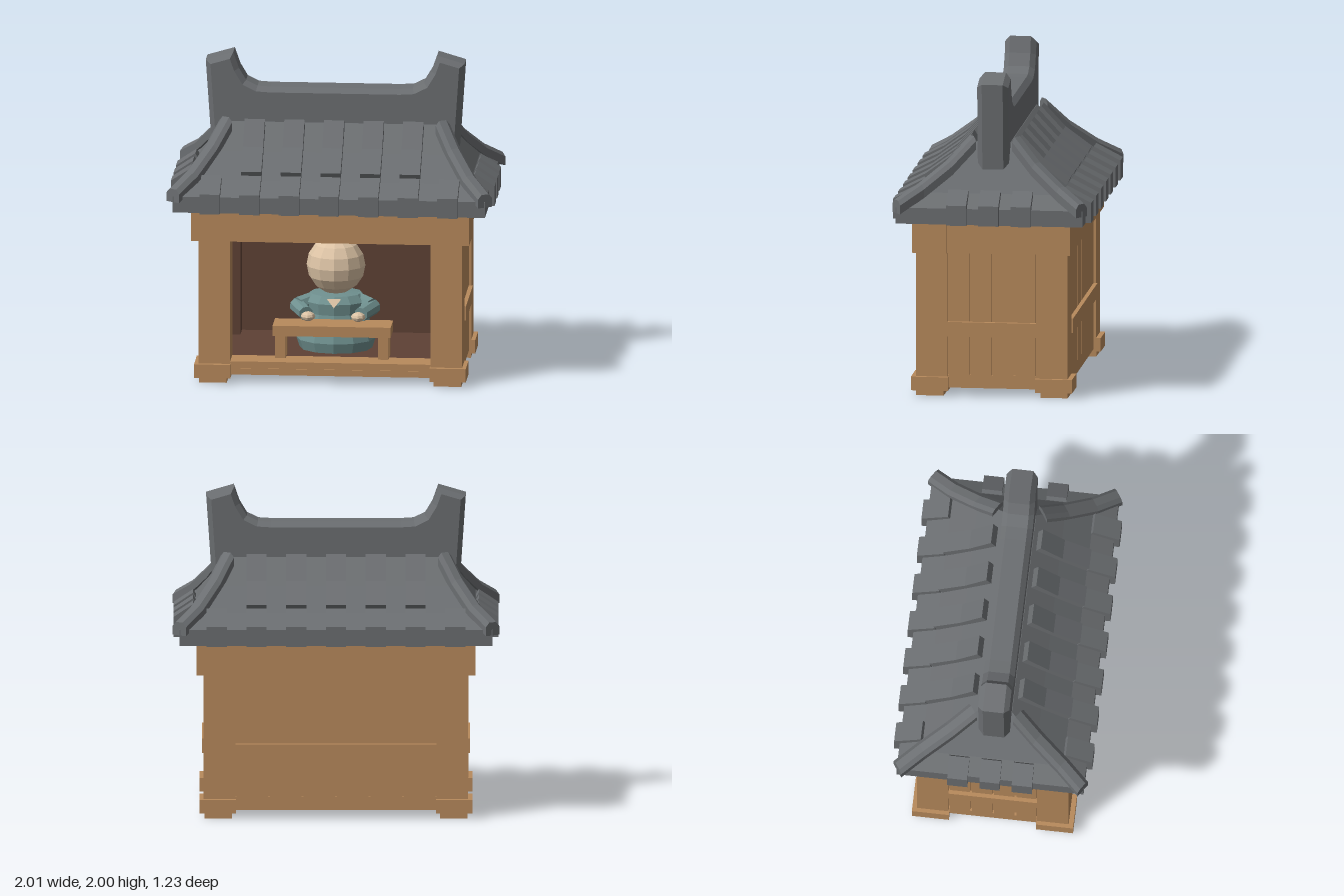
import * as THREE from 'three';

const mat = (name, color) => Object.assign(new THREE.MeshStandardMaterial({ color }), { name });

export function createModel() {
  const root = new THREE.Group();
  root.name = 'shrine';
  const wood = mat('wood', 0xb88a5c);
  const tile = mat('roofTile', 0x6b6e71);
  const dark = mat('darkInterior', 0x5e4135);
  const skin = mat('skin', 0xdcc3a5);
  const cloth = mat('tealCloth', 0x6f908f);

  const group = (name) => {
    const g = new THREE.Group();
    g.name = name;
    root.add(g);
    return g;
  };
  const add = (parent, name, geo, material) => {
    const m = new THREE.Mesh(geo, material);
    m.name = name;
    parent.add(m);
    return m;
  };
  // Box given by its lower and upper limits on each axis
  const box = (parent, name, material, x0, x1, y0, y1, z0, z1) => {
    const geo = new THREE.BoxGeometry(Math.abs(x1 - x0), y1 - y0, Math.abs(z1 - z0));
    geo.translate((x0 + x1) / 2, (y0 + y1) / 2, (z0 + z1) / 2);
    return add(parent, name, geo, material);
  };
  const faceted = (geo) => {
    const g = geo.toNonIndexed();
    g.computeVertexNormals();
    return g;
  };
  // Closed solid through a list of equal-length rings
  const loft = (rings) => {
    const p = [];
    const tri = (a, b, c) => p.push(...a, ...b, ...c);
    const n = rings[0].length;
    const last = rings[rings.length - 1];
    for (let i = 0; i < rings.length - 1; i++) {
      for (let j = 0; j < n; j++) {
        const k = (j + 1) % n;
        tri(rings[i][j], rings[i][k], rings[i + 1][k]);
        tri(rings[i][j], rings[i + 1][k], rings[i + 1][j]);
      }
    }
    for (let j = 1; j < n - 1; j++) {
      tri(rings[0][0], rings[0][j + 1], rings[0][j]);
      tri(last[0], last[j], last[j + 1]);
    }
    const g = new THREE.BufferGeometry();
    g.setAttribute('position', new THREE.Float32BufferAttribute(p, 3));
    g.computeVertexNormals();
    return g;
  };
  const shapeOf = (pts) => new THREE.Shape(pts.map((q) => new THREE.Vector2(...q)));

  // Posts with plinths and feet
  const frame = group('frame');
  for (const sx of [-1, 1]) for (const sz of [-1, 1]) {
    box(frame, 'post', wood, sx * 0.62, sx * 0.815, 0.1, 0.92, sz * 0.275, sz * 0.47);
    box(frame, 'plinth', wood, sx * 0.615, sx * 0.84, 0.035, 0.12, sz * 0.27, sz * 0.5);
    box(frame, 'foot', wood, sx * 0.64, sx * 0.81, 0, 0.035, sz * 0.3, sz * 0.47);
  }

  // Floor, sill and top beams
  box(frame, 'baseSlab', wood, -0.8, 0.8, 0.05, 0.09, -0.455, 0.455);
  box(frame, 'sill', wood, -0.62, 0.62, 0.09, 0.132, 0.28, 0.45);
  box(frame, 'frontBeam', wood, -0.86, 0.86, 0.9, 1.1, 0.275, 0.49);
  box(frame, 'backBeam', wood, -0.86, 0.86, 0.9, 1.1, -0.49, -0.38);
  for (const s of [-1, 1]) box(frame, 'sideBeam', wood, s * 0.74, s * 0.835, 0.9, 1.1, -0.38, 0.275);

  // Dark lining of the room
  const room = group('room');
  box(room, 'floor', dark, -0.74, 0.74, 0.09, 0.128, -0.42, 0.28);
  box(room, 'backLining', dark, -0.74, 0.74, 0.09, 1.1, -0.42, -0.4);
  for (const s of [-1, 1]) {
    box(room, 'sideLining', dark, s * 0.72, s * 0.74, 0.09, 1.1, -0.4, 0.275);
    box(room, 'innerCorner', dark, s * 0.612, s * 0.72, 0.09, 1.1, -0.4, -0.27);
  }

  // Planked walls with narrow grooves and a rail
  const walls = group('walls');
  const gap = 0.006;
  box(walls, 'backBacking', wood, -0.62, 0.62, 0.09, 0.9, -0.435, -0.42);
  box(walls, 'backSkirt', wood, -0.62, 0.62, 0.05, 0.13, -0.455, -0.42);
  for (let i = 0; i < 6; i++) {
    const x = -0.62 + (i * 1.24) / 6;
    box(walls, 'backPlank', wood, x + gap, x + 1.24 / 6 - gap, 0.13, 0.9, -0.455, -0.43);
  }
  box(walls, 'backRail', wood, -0.62, 0.62, 0.375, 0.465, -0.48, -0.45);
  for (const s of [-1, 1]) {
    box(walls, 'sideBacking', wood, s * 0.74, s * 0.78, 0.09, 0.9, -0.275, 0.275);
    box(walls, 'sideSkirt', wood, s * 0.74, s * 0.8, 0.05, 0.13, -0.275, 0.275);
    for (let i = 0; i < 4; i++) {
      const z = -0.275 + i * 0.1375;
      box(walls, 'sidePlank', wood, s * 0.77, s * 0.8, 0.13, 0.9, z + gap, z + 0.1375 - gap);
    }
    box(walls, 'sideRail', wood, s * 0.79, s * 0.825, 0.375, 0.465, -0.275, 0.275);
  }

  // Concave hipped roof: [half width, half depth, height]
  const roof = group('roof');
  const levels = [[0.965, 0.58, 1.1], [0.965, 0.58, 1.2], [0.86, 0.44, 1.28], [0.76, 0.27, 1.42], [0.65, 0.1, 1.57]];
  add(roof, 'roofBody', loft(levels.map(([x, z, y]) => [[x, y, z], [x, y, -z], [-x, y, -z], [-x, y, z]])), tile);

  // Raised tile rows; profiles run outwards along local x
  const rib = (name, profile, x, z, turn) => {
    const geo = new THREE.ExtrudeGeometry(shapeOf(profile), { depth: 0.125, bevelEnabled: false });
    geo.translate(0, 0, -0.0625);
    const m = add(roof, name, geo, tile);
    m.rotation.y = turn;
    m.position.set(x, 0, z);
  };
  const lower = [[0.615, 1.1], [0.615, 1.225], [0.45, 1.31], [0.43, 1.27], [0.53, 1.1]];
  const upper = [[0.44, 1.305], [0.455, 1.335], [0.29, 1.455], [0.155, 1.6], [0.125, 1.55], [0.27, 1.4], [0.42, 1.28]];
  const side = [[1, 1.1], [1, 1.225], [0.88, 1.305], [0.86, 1.27], [0.92, 1.1]];
  for (const s of [-1, 1]) {
    for (let i = -3; i <= 3; i++) {
      rib('eaveTile', lower, i * 0.245, 0, (-s * Math.PI) / 2);
      if (Math.abs(i) < 3) rib('slopeTile', upper, i * 0.245, 0, (-s * Math.PI) / 2);
    }
    for (let i = -1; i <= 1; i++) rib('sideEaveTile', side, 0, i * 0.2, s > 0 ? 0 : Math.PI);
  }

  // Four hip ridges swept along the corners
  const hipPath = [[0.965, 1.205, 0.575], [0.86, 1.29, 0.44], [0.755, 1.42, 0.275], [0.67, 1.565, 0.14]];
  const section = [[-0.05, -0.04], [0.05, -0.04], [0.05, 0.015], [0.025, 0.042], [-0.025, 0.042], [-0.05, 0.015]];
  for (const sx of [-1, 1]) for (const sz of [-1, 1]) {
    const across = new THREE.Vector3(0, 1, 0).cross(new THREE.Vector3(-sx * 0.3, 0, -sz * 0.44)).normalize();
    const rings = hipPath.map(([x, y, z]) =>
      section.map(([u, v]) => [sx * x + across.x * u, y + v, sz * z + across.z * u]));
    add(roof, 'hipRidge', loft(rings), tile);
  }

  // Main ridge with upswept ends and chamfered edges
  const half = [[0.4, 1.785], [0.48, 1.79], [0.55, 1.825], [0.595, 1.9], [0.63, 2], [0.8, 1.95], [0.76, 1.36]];
  const outline = [...half, ...half.map(([x, y]) => [-x, y]).reverse()];
  const ridge = new THREE.ExtrudeGeometry(shapeOf(outline), {
    depth: 0.13, bevelEnabled: true, bevelThickness: 0.032, bevelSize: 0.03, bevelOffset: -0.03, bevelSegments: 1,
  });
  ridge.translate(0, 0, -0.065);
  add(roof, 'mainRidge', ridge, tile);

  // Low desk
  const desk = group('desk');
  box(desk, 'deskTop', wood, -0.365, 0.365, 0.275, 0.34, 0.16, 0.36);
  for (const s of [-1, 1]) for (const z of [0.18, 0.28]) {
    box(desk, 'deskLeg', wood, s * 0.285, s * 0.35, 0.128, 0.275, z, z + 0.06);
  }

  // Seated figure
  const figure = group('figure');
  const robe = [[0, 0.128], [0.225, 0.128], [0.245, 0.19], [0.22, 0.27], [0.19, 0.36], [0.2, 0.43], [0.16, 0.475], [0, 0.49]];
  const robeGeo = new THREE.LatheGeometry(robe.map((q) => new THREE.Vector2(...q)), 12);
  robeGeo.scale(1, 1, 0.85);
  add(figure, 'robe', faceted(robeGeo), cloth);
  const head = new THREE.SphereGeometry(0.182, 12, 8);
  add(figure, 'head', faceted(head), skin).position.set(0, 0.65, 0);
  const collar = new THREE.ShapeGeometry(shapeOf([[0, 0.41], [0.045, 0.47], [-0.045, 0.47]]));
  collar.translate(0, -0.44, 0);
  const collarMesh = add(figure, 'collar', collar, skin);
  collarMesh.position.set(0, 0.44, 0.168);
  collarMesh.rotation.x = -0.55;
  // Sleeves bend forward to hands resting on the desk
  const limb = (a, b, r0, r1) => {
    const from = new THREE.Vector3(...a);
    const dir = new THREE.Vector3(...b).sub(from);
    const m = add(figure, 'sleeve', faceted(new THREE.CylinderGeometry(r1, r0, dir.length(), 8)), cloth);
    m.position.copy(from).addScaledVector(dir, 0.5);
    m.quaternion.setFromUnitVectors(new THREE.Vector3(0, 1, 0), dir.normalize());
  };
  for (const s of [-1, 1]) {
    limb([s * 0.13, 0.43, 0], [s * 0.225, 0.405, 0.08], 0.05, 0.055);
    limb([s * 0.235, 0.4, 0.05], [s * 0.17, 0.385, 0.21], 0.05, 0.045);
    const hand = add(figure, 'hand', faceted(new THREE.SphereGeometry(0.045, 8, 6)), skin);
    hand.scale.set(1, 0.65, 1.1);
    hand.position.set(s * 0.155, 0.375, 0.235);
  }
  return root;
}
